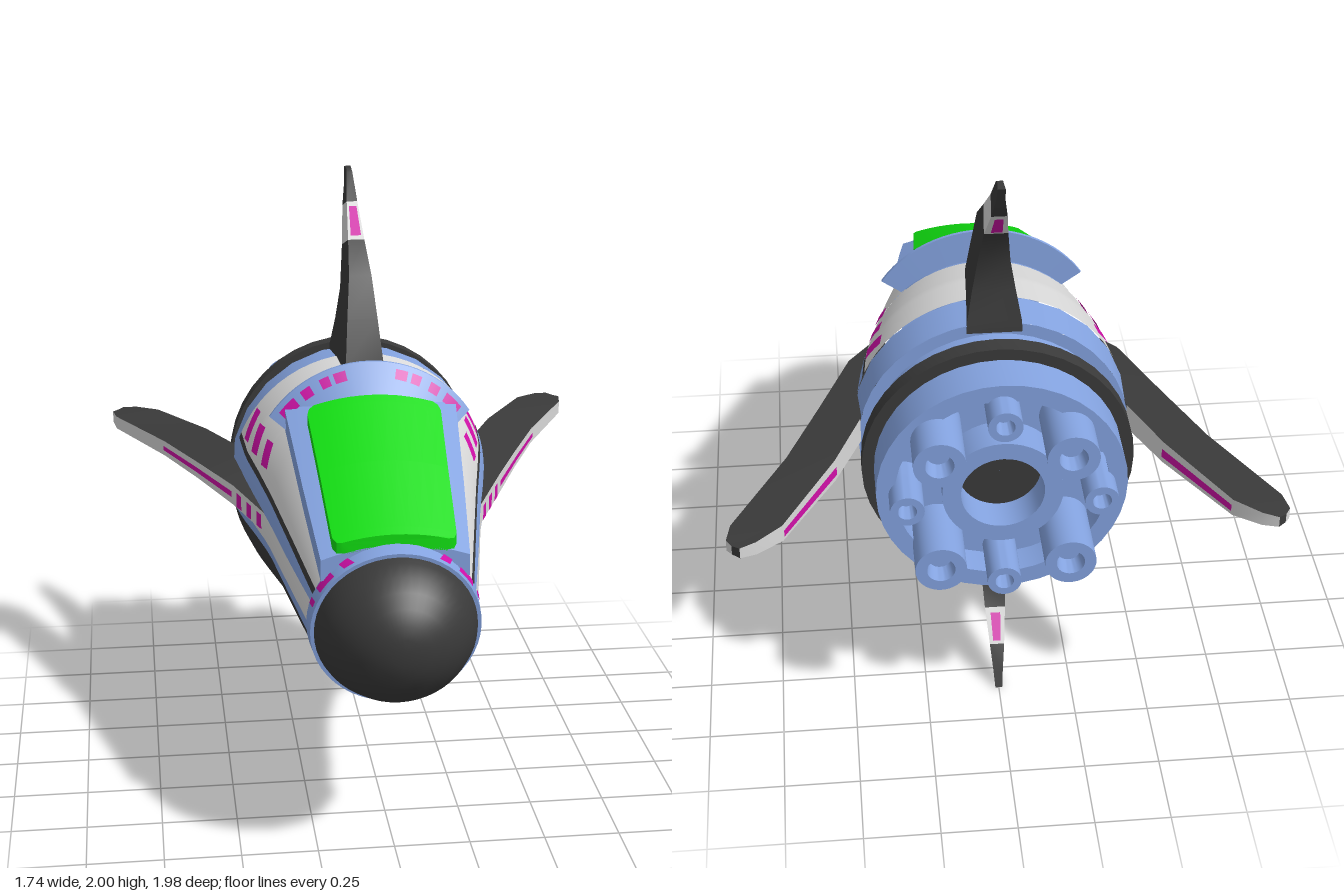
import * as THREE from 'three';
import { toCreasedNormals } from 'three/addons/utils/BufferGeometryUtils.js';

const mat = (name, color, side = THREE.FrontSide) => {
  const m = new THREE.MeshStandardMaterial({ color, side });
  m.name = name;
  return m;
};
const lerp = (a, b, t) => a + (b - a) * t;
const mix = (p, q, t) => p.map((v, i) => lerp(v, q[i], t));

// Hull sections: [z, centre height, half width, half height, slant], front to back
const HULL = [
  [0.705, 0.785, 0.27, 0.265, 0.13], [0.45, 0.852, 0.318, 0.33, 0.06], [0.2, 0.918, 0.365, 0.393, 0],
  [0.05, 0.932, 0.402, 0.418, 0], [-0.1, 0.942, 0.435, 0.443, 0], [-0.25, 0.945, 0.455, 0.455, 0],
  [-0.39, 0.945, 0.448, 0.448, 0],
];
const NOSE = [
  [0.75, 0.777, 0.263, 0.255, 0.13], [0.8, 0.777, 0.253, 0.243, 0.11], [0.86, 0.777, 0.228, 0.217, 0.07],
  [0.91, 0.779, 0.188, 0.18, 0.04], [0.95, 0.782, 0.14, 0.135, 0.02], [0.975, 0.784, 0.09, 0.088, 0],
  [0.987, 0.785, 0.045, 0.045, 0], [0.99, 0.785, 0.002, 0.002, 0],
];
const section = (z) => {
  let i = 0;
  while (i < HULL.length - 2 && z < HULL[i + 1][0]) i++;
  return mix(HULL[i], HULL[i + 1], (z - HULL[i][0]) / (HULL[i + 1][0] - HULL[i][0]));
};
const onSection = ([z, c, rx, ry, k], a, off = 0) =>
  [(rx + off) * Math.cos(a), c + (ry + off) * Math.sin(a), z + k * ry * Math.sin(a)];
const angleAt = (s, y) => Math.asin(THREE.MathUtils.clamp((y - s[1]) / s[3], -1, 1));

// Open grid of points f(u, v); u cross v faces outward
function sheet(nu, nv, f, mirror = false) {
  const pos = [], idx = [];
  for (let i = 0; i <= nu; i++) for (let j = 0; j <= nv; j++) {
    const p = f(i / nu, j / nv);
    pos.push(mirror ? -p[0] : p[0], p[1], p[2]);
  }
  for (let i = 0; i < nu; i++) for (let j = 0; j < nv; j++) {
    const a = i * (nv + 1) + j, b = a + nv + 1;
    idx.push(...(mirror ? [a, b + 1, b, a, a + 1, b + 1] : [a, b, b + 1, a, b + 1, a + 1]));
  }
  const g = new THREE.BufferGeometry();
  g.setAttribute('position', new THREE.Float32BufferAttribute(pos, 3));
  g.setIndex(idx);
  g.computeVertexNormals();
  return g;
}

// Capped solid through rings of points; pick(side, station) chooses a material index
function loft(rings, pick = () => 0, crease = 0.6) {
  const n = rings[0].length, last = rings.length - 1, tris = [];
  const add = (m, ...t) => tris.push({ m, t });
  for (let s = 0; s < n; s++) for (let i = 0; i < last; i++) {
    const a = rings[i][s], b = rings[i + 1][s], c = rings[i + 1][(s + 1) % n], d = rings[i][(s + 1) % n];
    add(pick(s, i), a, b, c);
    add(pick(s, i), a, c, d);
  }
  for (let s = 1; s < n - 1; s++) {
    add(pick(0, 0), rings[0][0], rings[0][s], rings[0][s + 1]);
    add(pick(0, last - 1), rings[last][0], rings[last][s + 1], rings[last][s]);
  }
  const v = (p) => new THREE.Vector3(...p);
  const volume = tris.reduce((sum, { t }) => sum + v(t[0]).dot(v(t[1]).cross(v(t[2]))), 0);
  const pos = [], g = new THREE.BufferGeometry();
  tris.forEach(({ m, t }, i) => {
    pos.push(...(volume < 0 ? [t[0], t[2], t[1]] : t).flat());
    g.addGroup(i * 3, 3, m);
  });
  g.setAttribute('position', new THREE.Float32BufferAttribute(pos, 3));
  return toCreasedNormals(g, crease);
}

export function createModel() {
  const root = new THREE.Group();
  root.name = 'spaceship';
  const blue = mat('blue', 0x84a3e0), dark = mat('charcoal', 0x3a3a3a), white = mat('white', 0xdadada);
  const green = mat('green', 0x10dc10), pink = mat('magenta', 0xd010a8, THREE.DoubleSide);
  const add = (name, geo, m) => {
    const mesh = new THREE.Mesh(geo, m);
    mesh.name = name;
    root.add(mesh);
    return mesh;
  };

  // Hull colour bands between two height lines, mirrored left and right
  const ZS = [0.705, 0.45, 0.2, 0.05, -0.1, -0.25];
  const line = (ys) => (z) => {
    let i = 0;
    while (i < ZS.length - 2 && z < ZS[i + 1]) i++;
    return lerp(ys[i], ys[i + 1], (z - ZS[i]) / (ZS[i + 1] - ZS[i]));
  };
  const band = (name, m, z0, z1, low, high) => {
    for (const mirror of [false, true]) add(name, sheet(16, 12, (u, v) => {
      const s = section(lerp(z0, z1, u));
      return onSection(s, lerp(angleAt(s, low(s[0])), angleAt(s, high(s[0])), v));
    }, mirror), m);
  };
  const top = () => 9, bottom = () => -9;
  const frameLine = line([0.97, 1.09, 1.21, 1.25, 1.3, 1.3]);
  const trimTop = line([0.895, 0.97, 1.04, 1.075, 1.1, 1.125]);
  const trimLow = (z) => trimTop(z) - 0.02;
  const stripeTop = line([0.855, 0.905, 0.96, 0.985, 0.95, 0.94]);
  const stripeLow = line([0.78, 0.825, 0.87, 0.89, 0.94, 0.94]);
  const bellyLine = line([0.73, 0.78, 0.83, 0.85, 0.855, 0.855]);
  band('canopyDeck', blue, 0.705, 0.05, frameLine, top);
  band('sidePanel', white, 0.705, 0.05, trimTop, frameLine);
  band('backPanel', white, 0.05, -0.25, trimTop, top);
  band('darkTrim', dark, 0.705, -0.25, trimLow, trimTop);
  band('blueFlank', blue, 0.705, -0.25, stripeTop, trimLow);
  band('whiteStripe', white, 0.705, -0.25, stripeLow, stripeTop);
  band('lowerFlank', blue, 0.705, -0.25, bellyLine, stripeLow);
  band('belly', dark, 0.705, -0.25, bottom, bellyLine);
  band('rearHull', blue, -0.25, -0.39, bottom, top);

  // Nose cap and slanted nose ring
  const loop = (s) => Array.from({ length: 48 }, (_, i) => onSection(s, (i / 48) * Math.PI * 2));
  add('nose', loft(NOSE.map(loop)), [dark]);
  const RING = [[0.7, 0.785, 0.278, 0.272, 0.13], [0.765, 0.777, 0.272, 0.263, 0.13]];
  add('noseRing', loft(RING.map(loop)), [blue]);

  // Slanted flank marks and nose ring marks
  for (const mirror of [false, true]) {
    for (let i = 0; i < 3; i++) add('flankMark', sheet(2, 6, (u, v) => {
      const s = section(0.11 - 0.115 * i - 0.055 * u - 0.05 * v);
      return onSection(s, angleAt(s, lerp(1.1 + 0.012 * i, 1.175 + 0.022 * i, v)), 0.004);
    }, mirror), pink);
    for (const [y0, y1] of [[0.86, 0.88], [0.91, 0.965], [0.99, 1.01]]) add('ringMark', sheet(1, 4, (u, v) => {
      const s = mix(RING[1], RING[0], 0.15 + 0.65 * u);
      return onSection(s, angleAt(s, lerp(y0, y1, v)), 0.004);
    }, mirror), pink);
  }

  // Canopy glass and its frame: slightly arched plates on the sloping deck
  const plate = (stations, lift, thick) => loft(stations.map(([z, w]) => {
    const y = 1.045 + (0.745 - z) * 0.495 + lift, ring = [];
    for (let i = 0; i <= 10; i++) {
      const x = lerp(-w, w, i / 10);
      ring.push([x, y - 0.75 * x * x, z]);
    }
    return [...ring, ...ring.map(([x, h, d]) => [x, h - thick, d]).reverse()];
  }));
  add('canopyFrame', plate([[0.745, 0.235], [0.45, 0.262], [0.1, 0.29]], 0.005, 0.07), [blue]);
  add('canopy', plate([[0.745, 0.165], [0.738, 0.185], [0.715, 0.196], [0.45, 0.209], [0.2, 0.223],
    [0.18, 0.216], [0.17, 0.2]], 0.04, 0.04), [green]);

  // Flared collar behind the canopy, with dashes on its face
  const onCollar = (r, z, a) => [r * Math.sin(a), 1.049 + r * Math.cos(a), z];
  add('collar', loft(Array.from({ length: 25 }, (_, i) => {
    const a = lerp(-0.98, 0.98, i / 24);
    return [[0.285, 0.17], [0.41, 0.078], [0.41, 0.066], [0.285, 0.06]].map(([r, z]) => onCollar(r, z, a));
  })), [blue]);
  for (const side of [-1, 1]) for (const [a0, a1] of [[0.22, 0.33], [0.37, 0.46], [0.55, 0.65], [0.72, 0.9]])
    add('collarMark', sheet(4, 1, (u, v) =>
      onCollar(lerp(0.365, 0.395, v), lerp(0.111, 0.089, v) + 0.005, side * lerp(a0, a1, u))), pink);

  // Engine: drum, dark band, hub and eight nozzles
  const turned = (name, profile, m, x = 0, y = 0.945) => {
    const g = new THREE.LatheGeometry(profile.map(([r, d]) => new THREE.Vector2(r, d)), 40);
    g.rotateX(-Math.PI / 2);
    add(name, toCreasedNormals(g, 0.6), m).position.set(x, y, 0);
  };
  turned('engineDrum', [[0.448, 0.39], [0.405, 0.39], [0.405, 0.68], [0.345, 0.68], [0.345, 0.58], [0.001, 0.58]], blue);
  turned('engineBand', [[0.4, 0.48], [0.445, 0.48], [0.445, 0.54], [0.4, 0.54]], dark);
  turned('engineHub', [[0.195, 0.58], [0.195, 0.7], [0.135, 0.7], [0.135, 0.58]], blue);
  turned('hubCore', [[0.135, 0.585], [0.001, 0.585]], dark);
  for (let i = 0; i < 8; i++) {
    const a = (i * Math.PI) / 4, big = i % 2, r = big ? 0.083 : 0.055, end = big ? 0.815 : 0.77, R = big ? 0.295 : 0.31;
    turned('nozzle', [[r, 0.57], [r, end], [r * 0.55, end], [r * 0.45, end - 0.06], [0.001, end - 0.06]],
      blue, R * Math.cos(a), 0.945 + R * Math.sin(a));
  }

  // Upper and lower fins: [front y, front z, back y, back z, half width]
  const fin = (name, st) => {
    add(name, loft(st.map(([yf, zf, yb, zb, w]) =>
      [[-0.75 * w, yf, zf], [0.75 * w, yf, zf], [w, yb, zb], [-w, yb, zb]]),
    (s, i) => (i === 4 ? 1 : 0), 0.45), [dark, white]);
    for (const [o, dz] of [[0, 0.006], [2, -0.006]]) add(name + 'Mark', sheet(1, 1, (u, v) => {
      const s = mix(st[4], st[5], lerp(0.12, 0.88, u));
      return [(v - 0.5) * s[4] * 1.0, s[o], s[o + 1] + dz];
    }), pink);
  };
  fin('upperFin', [[1.33, -0.05, 1.36, -0.4, 0.09], [1.4, -0.065, 1.4, -0.395, 0.088], [1.55, -0.135, 1.5, -0.37, 0.07],
    [1.69, -0.2, 1.61, -0.37, 0.052], [1.79, -0.32, 1.75, -0.435, 0.038], [1.9, -0.45, 1.87, -0.535, 0.025],
    [1.99, -0.53, 1.95, -0.575, 0.014], [2.0, -0.55, 2.0, -0.6, 0.012]]);
  fin('lowerFin', [[0.55, -0.05, 0.54, -0.4, 0.09], [0.49, -0.065, 0.48, -0.39, 0.088], [0.43, -0.1, 0.4, -0.385, 0.06],
    [0.3, -0.21, 0.34, -0.4, 0.042], [0.2, -0.32, 0.24, -0.45, 0.035], [0.1, -0.44, 0.14, -0.53, 0.025],
    [0.02, -0.53, 0.05, -0.575, 0.016], [0, -0.55, 0, -0.6, 0.012]]);

  // Swept wings: [outer x, outer z, inner x, inner z, outer top, inner top, outer bottom, inner bottom]
  const WING = [
    [0.365, 0.18, 0.3, 0.1, 0.965, 0.98, 0.895, 0.9], [0.465, -0.01, 0.4, -0.2, 1.01, 1.04, 0.94, 0.94],
    [0.575, -0.28, 0.44, -0.39, 1.01, 1.04, 0.95, 0.95], [0.685, -0.54, 0.53, -0.6, 1.01, 1.035, 0.955, 0.955],
    [0.86, -0.87, 0.7, -0.9, 1.012, 1.025, 0.965, 0.965], [0.872, -0.94, 0.78, -0.965, 1.012, 1.02, 0.972, 0.972],
    [0.855, -0.965, 0.83, -0.985, 1.01, 1.015, 0.977, 0.977],
  ];
  for (const side of [1, -1]) {
    add('wing', loft(WING.map(([ox, oz, ix, iz, ot, it, ob, ib]) =>
      [[side * ix, it, iz], [side * ox, ot, oz], [side * ox, ob, oz], [side * ix, ib, iz]]),
    (s, i) => (s === 1 || (s === 3 && i > 1) ? 1 : 0), 0.45), [dark, white]);
    const mark = (o, t0, t1, v0, v1) => add('wingMark', sheet(Math.max(1, Math.round(t1 - t0)), 1, (u, v) => {
      const t = lerp(t0, t1, u), i = Math.min(Math.floor(t), 5), s = mix(WING[i], WING[i + 1], t - i);
      const d = o ? -0.005 : 0.005, h = lerp(v0, v1, v);
      return [side * (s[o] + d), lerp(s[6 + o / 2], s[4 + o / 2], h), s[o + 1] + d * 0.4];
    }), pink);
    mark(0, 1, 3, 0.4, 0.7);
    mark(2, 3, 4, 0.3, 0.7);
    for (const t of [0.1, 0.4, 0.7]) mark(0, t, t + 0.14, 0.12, 0.85);
  }
  return root;
}
